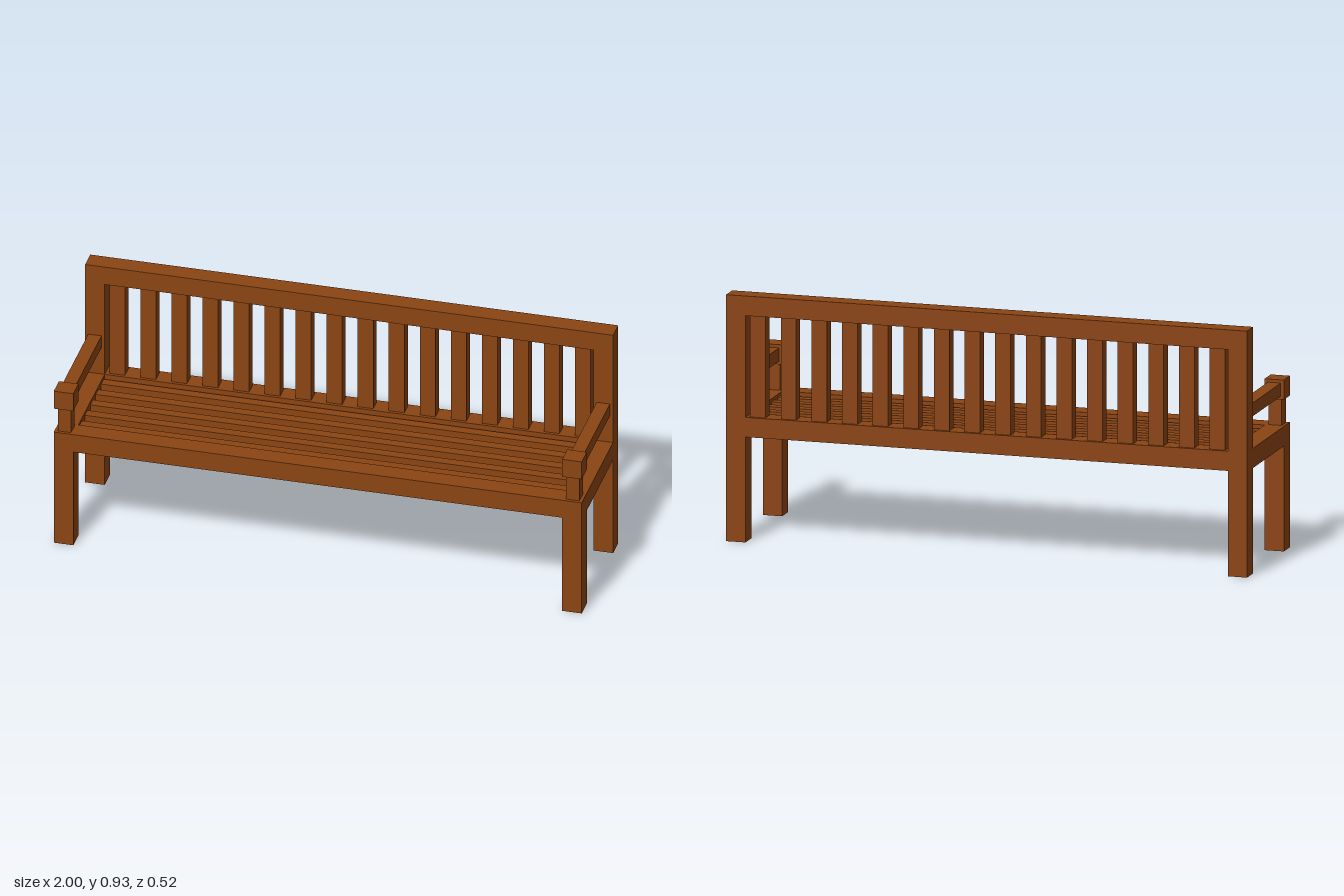
import * as THREE from 'three';

export function createModel() {
  const bench = new THREE.Group();
  bench.name = 'gardenBench';
  const wood = new THREE.MeshStandardMaterial({ color: 0x8b4513, flatShading: true });

  // Box given by its extents on each axis
  const beam = (name, [x0, x1], [y0, y1], [z0, z1]) => {
    const mesh = new THREE.Mesh(new THREE.BoxGeometry(x1 - x0, y1 - y0, z1 - z0), wood);
    mesh.position.set((x0 + x1) / 2, (y0 + y1) / 2, (z0 + z1) / 2);
    mesh.name = name;
    bench.add(mesh);
  };
  const around = (centre, size) => [centre - size / 2, centre + size / 2];

  const T = 0.074;            // main timber thickness
  const B = 0.05;             // thinner timber thickness
  const D = 0.262;            // half depth
  const H = 0.926;            // back height
  const inner = 1 - T;        // inside faces of the legs
  const seat = [0.396, 0.47]; // seat frame heights
  const front = [D - T, D], back = [-D, T - D], between = [T - D, D - T];
  const span = [-inner, inner];

  // Legs, side rails and arms, mirrored
  for (const side of [-1, 1]) {
    const label = side > 0 ? 'left' : 'right';
    const x = side * (1 - T / 2);
    beam(label + 'FrontLeg', around(x, T), [0, seat[1]], front);
    beam(label + 'BackPost', around(x, T), [0, H], back);
    beam(label + 'SeatRail', around(x, T), seat, between);
    beam(label + 'ArmPost', around(x, B), [seat[1], 0.57], around(D - T / 2, B));
    beam(label + 'ArmCap', around(x, T), [0.57, 0.644], front);
    beam(label + 'Armrest', around(x, B), around(0.607, B), between);
  }

  // Long rails
  beam('frontSeatRail', span, seat, front);
  beam('backSeatRail', span, seat, back);
  beam('topRail', span, [H - T, H], back);

  // Seat slats, running lengthwise
  for (let i = -2; i <= 2; i++) {
    beam('seatSlat', span, around(0.433, B), around(i * 0.0775, 0.037));
  }

  // Upright back slats
  for (let i = 0; i < 16; i++) {
    beam('backSlat', around((i - 7.5) * 0.1176, 0.059), [seat[1], H - T], around(T / 2 - D, B));
  }
  return bench;
}
